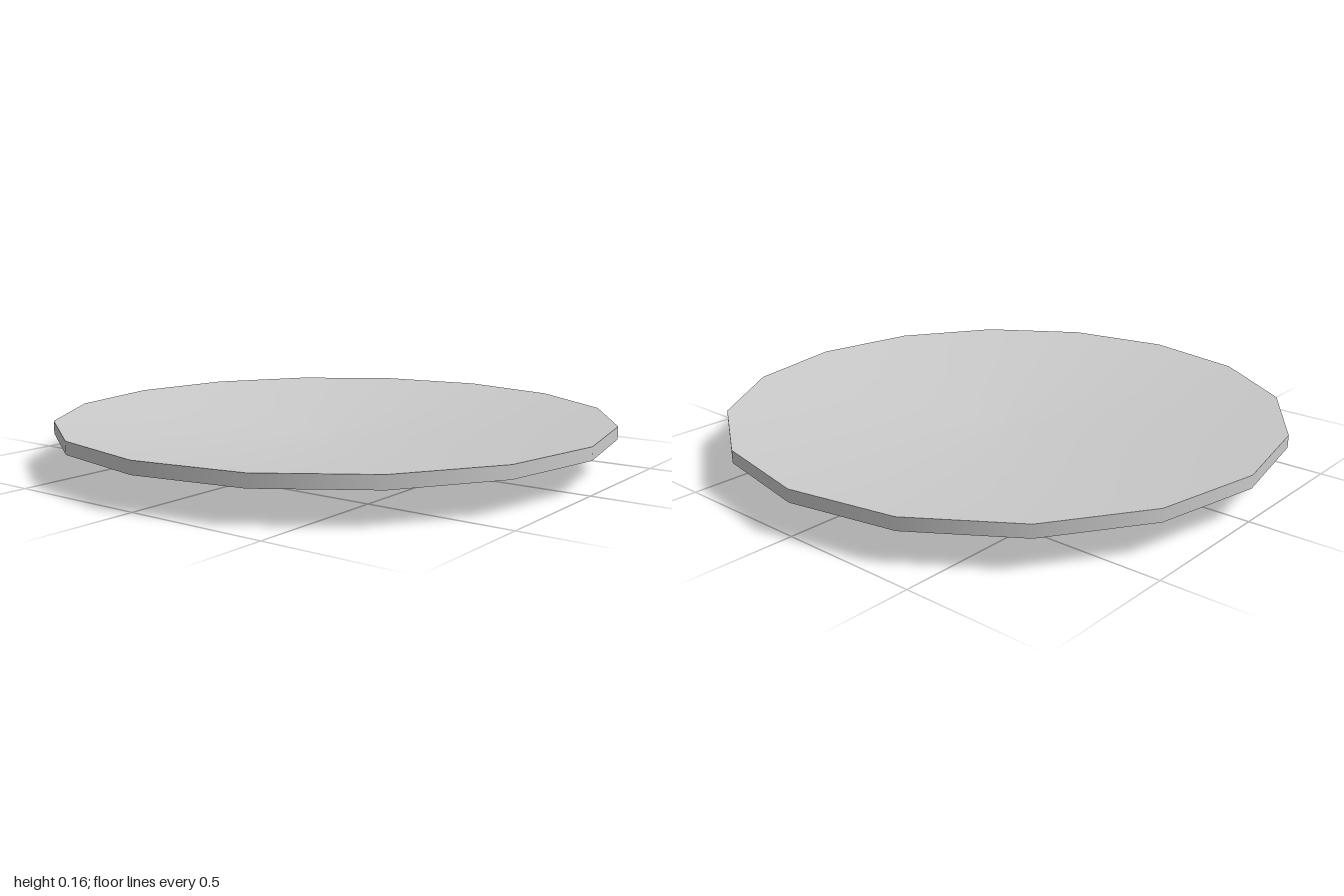
import * as THREE from 'three';

const SIDES = 16;

// One smooth band per profile; separate bands keep the edges between them sharp.
function band(name, profile) {
  const points = profile.map(([r, y]) => new THREE.Vector2(r, y));
  const material = new THREE.MeshStandardMaterial({ color: 0xcccccc });
  const mesh = new THREE.Mesh(new THREE.LatheGeometry(points, SIDES), material);
  mesh.name = name;
  return mesh;
}

export function createModel() {
  const plate = new THREE.Group();
  plate.name = 'plate';

  // Foot ring with a shallow recess inside it
  const foot = new THREE.Group();
  foot.name = 'footRing';
  foot.add(
    band('footRecess', [[0, 0.015], [0.285, 0.015]]),
    band('footInnerWall', [[0.285, 0.015], [0.285, 0]]),
    band('footBase', [[0.285, 0], [0.33, 0]]),
    band('footOuterWall', [[0.33, 0], [0.33, 0.02]])
  );

  // Sloping underside, upright rim and gently dished top
  plate.add(
    foot,
    band('underside', [[0.33, 0.02], [1, 0.113]]),
    band('rim', [[1, 0.113], [1, 0.158]]),
    band('dish', [[1, 0.158], [0.57, 0.107], [0.15, 0.085], [0, 0.083]])
  );
  return plate;
}
